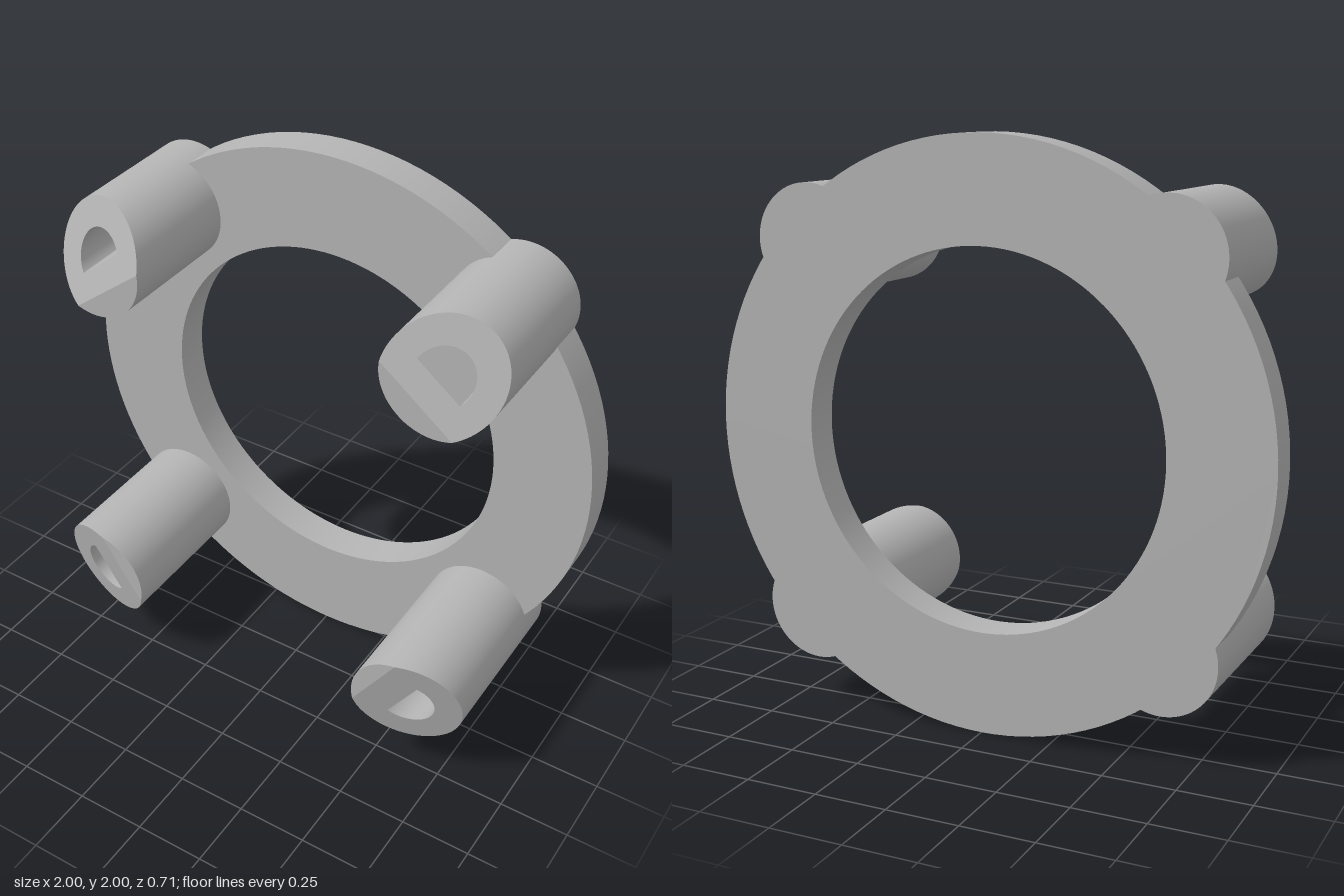
import * as THREE from 'three';

const grey = new THREE.MeshStandardMaterial({ color: 0xb4b4b4, side: THREE.DoubleSide });

const SEG = 128, STEP = (2 * Math.PI) / SEG;
const BACK = -0.355, RING_FRONT = -0.225;
const POST_R = 0.191, HOLE_R = 0.097, HOLE_HALF = 35, FLOOR = -0.1;

// Points on a circle from step a to step b
function arc(r, a, b) {
  const pts = [];
  for (let i = a; i <= b; i++) pts.push(new THREE.Vector2(r * Math.cos(i * STEP), r * Math.sin(i * STEP)));
  return pts;
}

function add(parent, name, geometry) {
  const mesh = new THREE.Mesh(geometry, grey);
  mesh.name = name;
  parent.add(mesh);
  return mesh;
}

// Set the z of every vertex in front of limit from its local x
function liftTo(geometry, height, limit = -Infinity) {
  const p = geometry.attributes.position;
  for (let i = 0; i < p.count; i++) if (p.getZ(i) > limit) p.setZ(i, height(p.getX(i)));
  return geometry;
}

function cap(shape, height) {
  const g = liftTo(new THREE.ShapeGeometry(shape), height);
  g.computeVertexNormals();
  return g;
}

// Open tube from z = from to z = 1, centred on the local +x direction
function tube(r, from, halfSteps) {
  const g = new THREE.CylinderGeometry(r, r, 1 - from, 2 * halfSteps, 1, true,
    Math.PI / 2 - halfSteps * STEP, 2 * halfSteps * STEP);
  g.rotateX(Math.PI / 2);
  g.translate(0, 0, (1 + from) / 2);
  return g;
}

// Post whose end slopes along local +x beyond a chord and is level behind it
function makePost(name, zTop, zLow, chordStep) {
  const post = new THREE.Group();
  post.name = name;
  const chordX = POST_R * Math.cos(chordStep * STEP);
  const slope = (zTop - zLow) / (POST_R - chordX);
  const height = (x) => Math.min(zTop, zTop - slope * (x - chordX));

  add(post, 'postWall', liftTo(tube(POST_R, BACK, SEG / 2), height, 0.9));

  // End faces
  const hole = arc(HOLE_R, -HOLE_HALF, HOLE_HALF);
  const sloped = new THREE.Shape(arc(POST_R, -chordStep, chordStep));
  sloped.holes.push(new THREE.Path(hole));
  add(post, 'slopedEnd', cap(sloped, height));
  add(post, 'levelEnd', cap(new THREE.Shape(arc(POST_R, chordStep, SEG - chordStep)), () => zTop));

  // D-shaped socket: round wall, flat wall and floor
  add(post, 'socketRoundWall', liftTo(tube(HOLE_R, FLOOR, HOLE_HALF), height, 0.9));
  const end = hole[0], depth = height(end.x) - FLOOR;
  const flat = new THREE.PlaneGeometry(depth, 2 * Math.abs(end.y));
  flat.rotateY(Math.PI / 2);
  flat.translate(end.x, 0, FLOOR + depth / 2);
  add(post, 'socketFlatWall', flat);
  add(post, 'socketFloor', cap(new THREE.Shape(hole), () => FLOOR));

  // Back disc
  const disc = new THREE.CircleGeometry(POST_R, SEG);
  disc.rotateY(Math.PI);
  disc.translate(0, 0, BACK);
  add(post, 'postBack', disc);
  return post;
}

export function createModel() {
  const model = new THREE.Group();
  model.name = 'ringMount';

  // Flat ring, with smooth rims
  const face = new THREE.Shape(arc(1, 0, SEG - 1));
  face.holes.push(new THREE.Path(arc(0.645, 0, SEG - 1)));
  const ring = new THREE.Group();
  ring.name = 'ring';
  ring.position.y = 1;
  model.add(ring);
  add(ring, 'ringFront', new THREE.ShapeGeometry(face)).position.z = RING_FRONT;
  const back = new THREE.ShapeGeometry(face);
  back.scale(1, 1, -1);
  back.index.array.reverse();
  back.computeVertexNormals();
  add(ring, 'ringBack', back).position.z = BACK;
  for (const [name, r] of [['outerRim', 1], ['innerRim', 0.645]]) {
    const rim = new THREE.CylinderGeometry(r, r, RING_FRONT - BACK, SEG, 1, true);
    rim.rotateX(Math.PI / 2);
    if (name === 'innerRim') {
      // Turn the inner rim to face the opening
      rim.index.array.reverse();
      rim.computeVertexNormals();
    }
    add(ring, name, rim).position.z = (RING_FRONT + BACK) / 2;
  }

  // Four posts, shorter above and longer below
  const offset = 0.639;
  for (const [side, sx] of [['left', 1], ['right', -1]]) {
    for (const [level, sy, zTop, zLow, chord, angle] of [
      ['Upper', 1, 0.25, 0.11, 43, 52],
      ['Lower', -1, 0.355, 0.25, 47, 33.7],
    ]) {
      const post = makePost(side + level + 'Post', zTop, zLow, chord);
      const a = THREE.MathUtils.degToRad(angle);
      post.rotation.z = Math.atan2(sy * Math.sin(a), sx * Math.cos(a));
      post.position.set(sx * offset, 1 + sy * offset, 0);
      model.add(post);
    }
  }
  return model;
}
